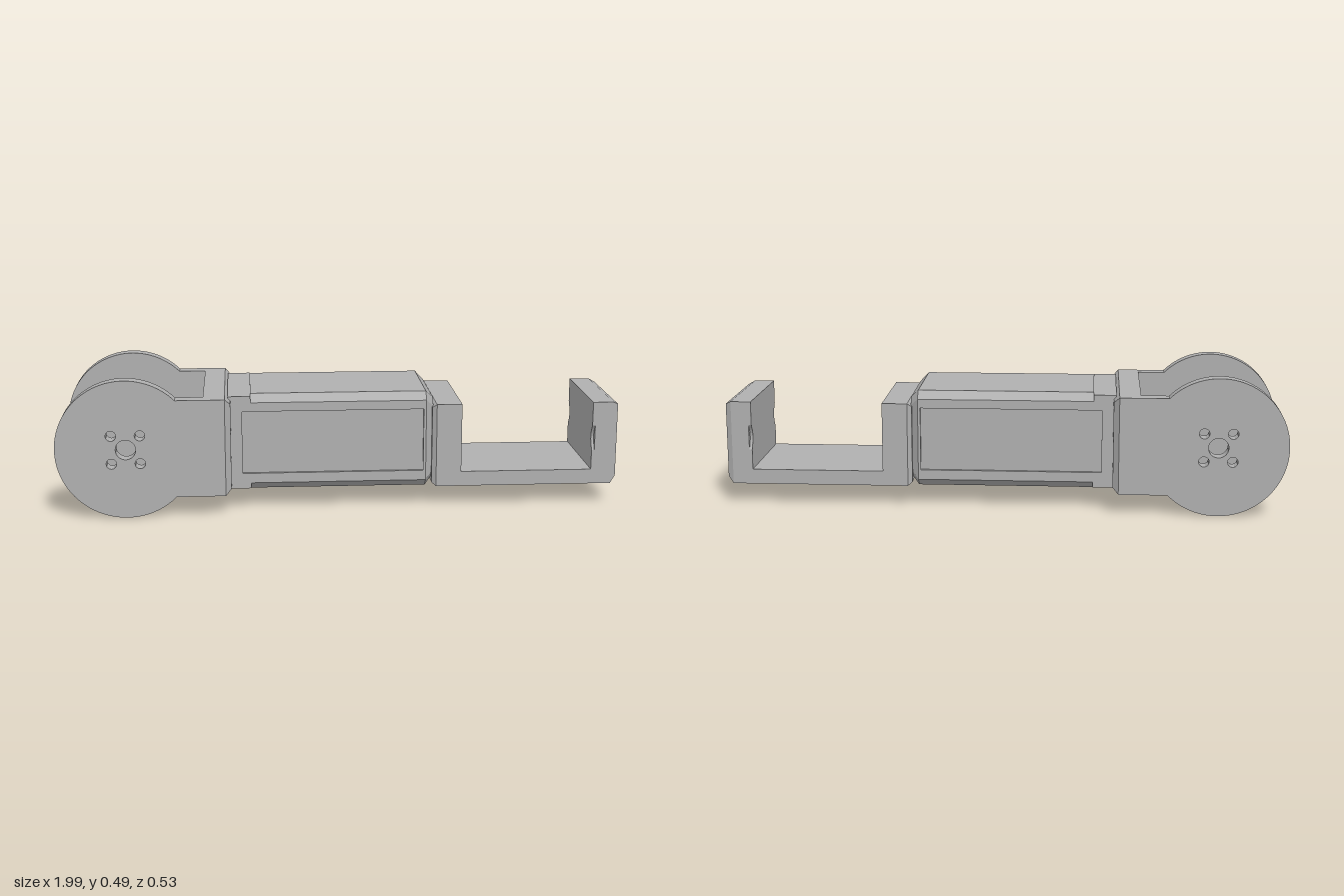
import * as THREE from 'three';
import { toCreasedNormals } from 'three/addons/utils/BufferGeometryUtils.js';
import { ConvexGeometry } from 'three/addons/geometries/ConvexGeometry.js';

export function createModel() {
  const model = new THREE.Group();
  const grey = new THREE.MeshStandardMaterial({ color: 0xb0b0b0 });

  function add(name, geometry) {
    const mesh = new THREE.Mesh(geometry, grey);
    mesh.name = name;
    model.add(mesh);
    return mesh;
  }

  function circle(x, y, r) {
    return new THREE.Path().absarc(x, y, r, 0, Math.PI * 2, true);
  }

  // Solid through rectangular sections [x, halfWidth, bottom, top]
  function hull(name, sections) {
    const points = [];
    for (const [x, z, y0, y1] of sections)
      for (const s of [-1, 1]) points.push(new THREE.Vector3(x, y0, s * z), new THREE.Vector3(x, y1, s * z));
    add(name, new ConvexGeometry(points));
  }

  // Profile of [z, y] points, extruded along x
  function alongX(name, profile, x0, x1) {
    const shape = new THREE.Shape(profile.map(([z, y]) => new THREE.Vector2(-z, y)));
    const g = new THREE.ExtrudeGeometry(shape, { depth: x1 - x0, bevelEnabled: false });
    g.rotateY(Math.PI / 2).translate(x0, 0, 0);
    add(name, g);
  }

  // Closed outline from the half on the +z side, listed bottom to top
  const mirrored = (half) => [...half, ...half.map(([z, y]) => [-z, y]).reverse()];

  // Horizontal plate with one screw hole
  function drilledPlate(name, x0, x1, z, y0, y1, holeX) {
    const shape = new THREE.Shape([[x0, -z], [x1, -z], [x1, z], [x0, z]].map((p) => new THREE.Vector2(...p)));
    shape.holes.push(circle(holeX, 0.01, 0.019));
    const g = new THREE.ExtrudeGeometry(shape, { depth: y1 - y0, bevelEnabled: false, curveSegments: 24 });
    g.rotateX(Math.PI / 2).translate(0, y1, 0);
    add(name, toCreasedNormals(g, 0.6));
  }

  // Round fork arms with a hub hole and four screw holes
  const cx = -0.755, cy = 0.247, r = 0.245, a = Math.asin(0.173 / r);
  const arm = new THREE.Shape();
  arm.moveTo(-0.485, 0.074);
  arm.lineTo(-0.485, 0.42);
  arm.absarc(cx, cy, r, a, Math.PI * 2 - a, false);
  arm.holes.push(circle(cx, cy, 0.035));
  for (const sx of [-1, 1])
    for (const sy of [-1, 1]) arm.holes.push(circle(cx + sx * 0.05, cy + sy * 0.05, 0.018));
  const armGeometry = toCreasedNormals(
    new THREE.ExtrudeGeometry(arm, { depth: 0.05, bevelEnabled: false, curveSegments: 48 }), 0.6);
  add('leftForkArm', armGeometry).position.z = 0.217;
  add('rightForkArm', armGeometry).position.z = -0.267;

  // Crossbar joining the arms
  hull('forkCrossbar', [[-0.485, 0.267, 0.074, 0.42], [-0.41, 0.267, 0.074, 0.42], [-0.39, 0.247, 0.094, 0.4]]);

  // Hollow body, open underneath, with recessed side panels
  const recess = [[0.197, 0.135], [0.187, 0.135], [0.187, 0.36], [0.197, 0.36]];
  function bodySection(name, x0, x1, chamfered, recessed) {
    const low = chamfered ? [[0.172, 0.075], [0.197, 0.1]] : [[0.197, 0.08]];
    const high = chamfered ? [[0.197, 0.392], [0.17, 0.42]] : [[0.197, 0.415]];
    const outer = mirrored([[0.16, low[0][1]], ...low, ...(recessed ? recess : []), ...high]);
    alongX(name, [...outer, [-0.16, 0.39], [0.16, 0.39]], x0, x1);
  }
  bodySection('bodyCollar', -0.4, -0.35, false, false);
  bodySection('bodyCollarPanel', -0.35, -0.32, false, true);
  bodySection('bodyShell', -0.32, 0.293, true, true);
  bodySection('bodyRim', 0.293, 0.302, true, false);

  // Bevelled body end
  const endSection = (x, d) => mirrored([[0.172 - d, 0.075 + d], [0.197 - d, 0.1 + d], [0.197 - d, 0.392 - d], [0.17 - d, 0.42 - d]])
    .map(([z, y]) => new THREE.Vector3(x, y, z));
  add('bodyEnd', new ConvexGeometry([...endSection(0.302, 0), ...endSection(0.33, 0.028)]));

  // Block inside the fork end of the body
  hull('mountBlock', [[-0.4, 0.162, 0.12, 0.395], [-0.3, 0.162, 0.12, 0.395]]);
  drilledPlate('mountBase', -0.4, -0.3, 0.162, 0.078, 0.12, -0.35);

  // Open bracket: floor, inner jaw with cable notch, outer jaw
  drilledPlate('bracketFloor', 0.34, 0.91, 0.197, 0.075, 0.128, 0.385);
  hull('innerJawBack', [[0.325, 0.185, 0.087, 0.363], [0.34, 0.197, 0.075, 0.375]]);
  alongX('innerJaw', [[-0.197, 0.128], [-0.15, 0.128], [-0.15, 0.2], [-0.05, 0.2], [-0.05, 0.128],
    [0.197, 0.128], [0.197, 0.375], [-0.197, 0.375]], 0.34, 0.43);
  hull('outerJaw', [[0.91, 0.197, 0.075, 0.375], [0.972, 0.197, 0.075, 0.375], [0.992, 0.185, 0.1, 0.365]]);

  // Inner jaw lining with a shallow scallop on each edge
  const lining = [[0.197, 0.128], [0.197, 0.2]];
  for (let i = 1; i < 8; i++) {
    const t = i / 8;
    lining.push([0.197 - 0.02 * Math.sin(t * Math.PI), 0.2 + 0.09 * t]);
  }
  lining.push([0.197, 0.29], [0.197, 0.375]);
  alongX('outerJawLining', mirrored(lining), 0.9, 0.91);

  return model;
}
